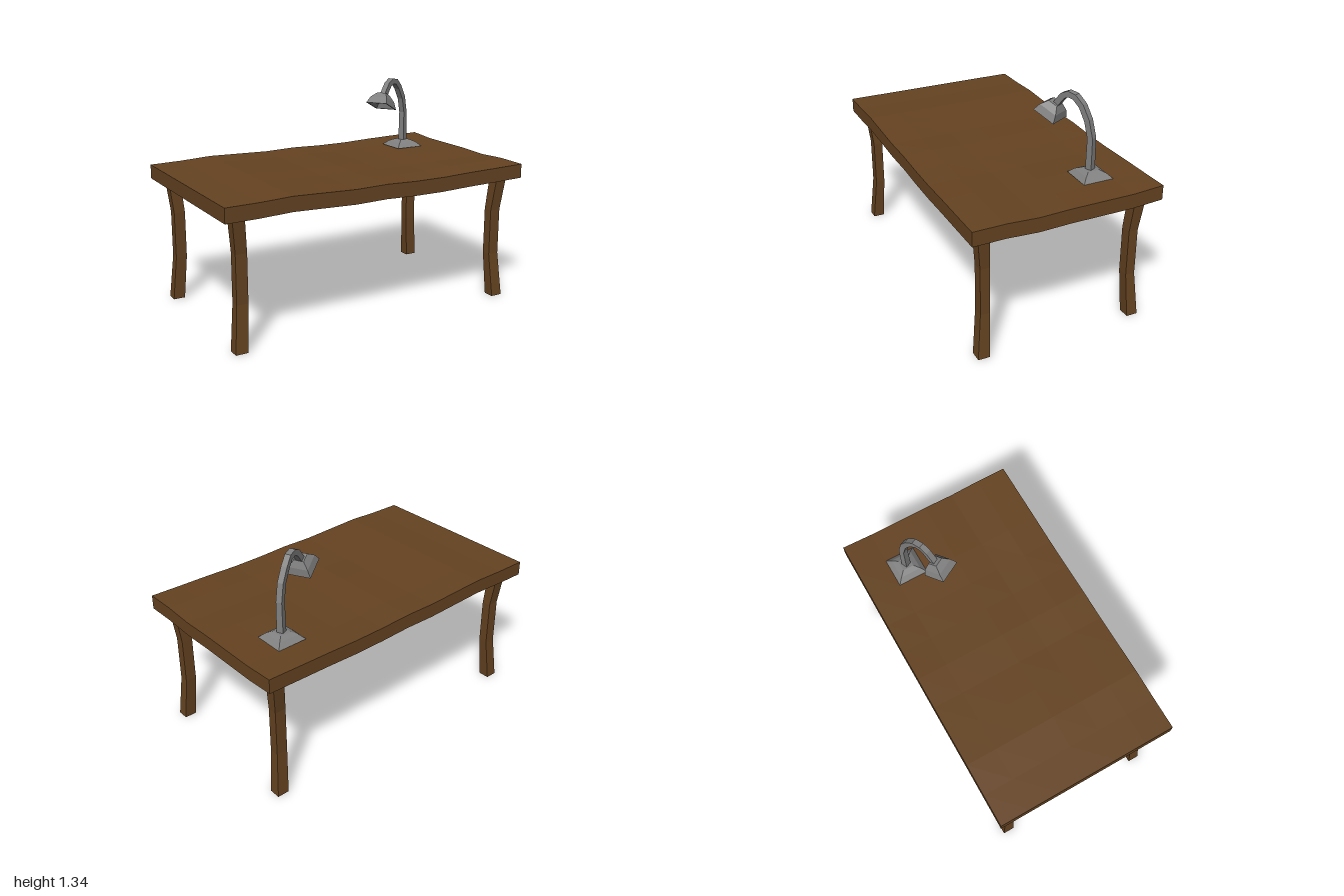
import * as THREE from 'three';

const V = (x, y, z) => new THREE.Vector3(x, y, z);

// Closed bar through square sections; each section is { c: centre, u, v: half sides }
function squareBar(sections) {
  const pos = [], idx = [];
  for (const { c, u, v } of sections)
    for (const [a, b] of [[-1, -1], [1, -1], [1, 1], [-1, 1]])
      pos.push(...c.clone().addScaledVector(u, a).addScaledVector(v, b).toArray());
  const last = (sections.length - 1) * 4;
  for (let r = 0; r < last; r += 4)
    for (let j = 0; j < 4; j++) {
      const a = r + j, b = r + (j + 1) % 4;
      idx.push(a, b, b + 4, a, b + 4, a + 4);
    }
  idx.push(0, 2, 1, 0, 3, 2, last, last + 1, last + 2, last, last + 2, last + 3);
  const g = new THREE.BufferGeometry();
  g.setAttribute('position', new THREE.Float32BufferAttribute(pos, 3));
  g.setIndex(idx);
  g.computeVertexNormals();
  return g;
}

// Four-sided dome from [half width, height] pairs
function squareDome(profile) {
  const points = profile.map(([w, y]) => new THREE.Vector2(w * Math.SQRT2, y));
  return new THREE.LatheGeometry(points, 4, Math.PI / 4);
}

export function createModel() {
  const group = new THREE.Group();
  const wood = new THREE.MeshStandardMaterial({ color: 0x654321, flatShading: true });
  wood.name = 'brown wood';
  const metal = new THREE.MeshStandardMaterial({ color: 0x808080, flatShading: true });
  metal.name = 'grey metal';
  const add = (name, geometry, material, parent = group) => {
    const mesh = new THREE.Mesh(geometry, material);
    mesh.name = name;
    parent.add(mesh);
    return mesh;
  };

  // Gently warped table top
  const waveX = [0, 0.002, 0.01, 0.003, -0.004, 0, -0.007, -0.008, -0.002, 0.001, 0.005];
  const waveZ = [0.01, -0.002, -0.002, -0.002, -0.008, 0.002, 0];
  const top = new THREE.BoxGeometry(2, 0.088, 1.16, 10, 1, 6);
  const p = top.attributes.position;
  for (let i = 0; i < p.count; i++) {
    const x = p.getX(i), z = p.getZ(i);
    const column = Math.round((x + 1) * 5), row = Math.round((z / 1.16 + 0.5) * 6);
    p.setY(i, p.getY(i) + 0.821 + waveX[column] + waveZ[row] * (x + 1) / 2);
  }
  top.computeVertexNormals();
  add('tableTop', top, wood);

  // Bowed legs: [height, x, z, half width x, half width z]
  const legSections = [
    [0, 0.898, 0.486, 0.037, 0.035],
    [0.28, 0.876, 0.467, 0.035, 0.029],
    [0.57, 0.876, 0.467, 0.035, 0.029],
    [0.8, 0.898, 0.486, 0.037, 0.035],
  ];
  for (const sx of [1, -1])
    for (const sz of [1, -1]) {
      const sections = legSections.map(([y, x, z, wx, wz]) =>
        ({ c: V(sx * x, y, sz * z), u: V(0, 0, wz), v: V(wx, 0, 0) }));
      add((sz > 0 ? 'front' : 'back') + (sx > 0 ? 'Left' : 'Right') + 'Leg', squareBar(sections), wood);
    }

  // Desk lamp
  const lamp = new THREE.Group();
  lamp.name = 'lamp';
  group.add(lamp);

  const base = add('lampBase', squareDome([[0, 0], [0.095, 0], [0.066, 0.028], [0.035, 0.043], [0, 0.043]]), metal, lamp);
  base.position.set(0.695, 0.867, -0.293);

  // Arched neck, leaning from the base towards the shade
  const path = [
    V(0.695, 0.89, -0.29), V(0.695, 1.1, -0.29), V(0.672, 1.2, -0.278), V(0.632, 1.275, -0.262),
    V(0.59, 1.318, -0.24), V(0.55, 1.325, -0.222), V(0.515, 1.305, -0.207), V(0.465, 1.235, -0.186),
  ];
  const side = V(0.42, 0, 0.9).normalize();
  add('lampNeck', squareBar(path.map((c, i) => {
    const t = path[Math.min(i + 1, path.length - 1)].clone().sub(path[Math.max(i - 1, 0)]).normalize();
    const half = i === 0 ? 0.02 : 0.018;
    return { c, u: side.clone().multiplyScalar(half), v: t.cross(side).normalize().multiplyScalar(half) };
  })), metal, lamp);

  // Tilted shade, hollow underneath
  const shade = add('lampShade', squareDome([
    [0, 0.055], [0.03, 0.055], [0.066, 0], [0.074, 0], [0.058, 0.045], [0.03, 0.082], [0, 0.085],
  ]), metal, lamp);
  const across = V(0.06, -0.03, -0.033).normalize();
  const up = V(0.34, 0.916, -0.21).addScaledVector(across, -V(0.34, 0.916, -0.21).dot(across)).normalize();
  shade.quaternion.setFromRotationMatrix(new THREE.Matrix4().makeBasis(across, up, across.clone().cross(up)));
  shade.position.set(0.437, 1.175, -0.165);

  return group;
}
